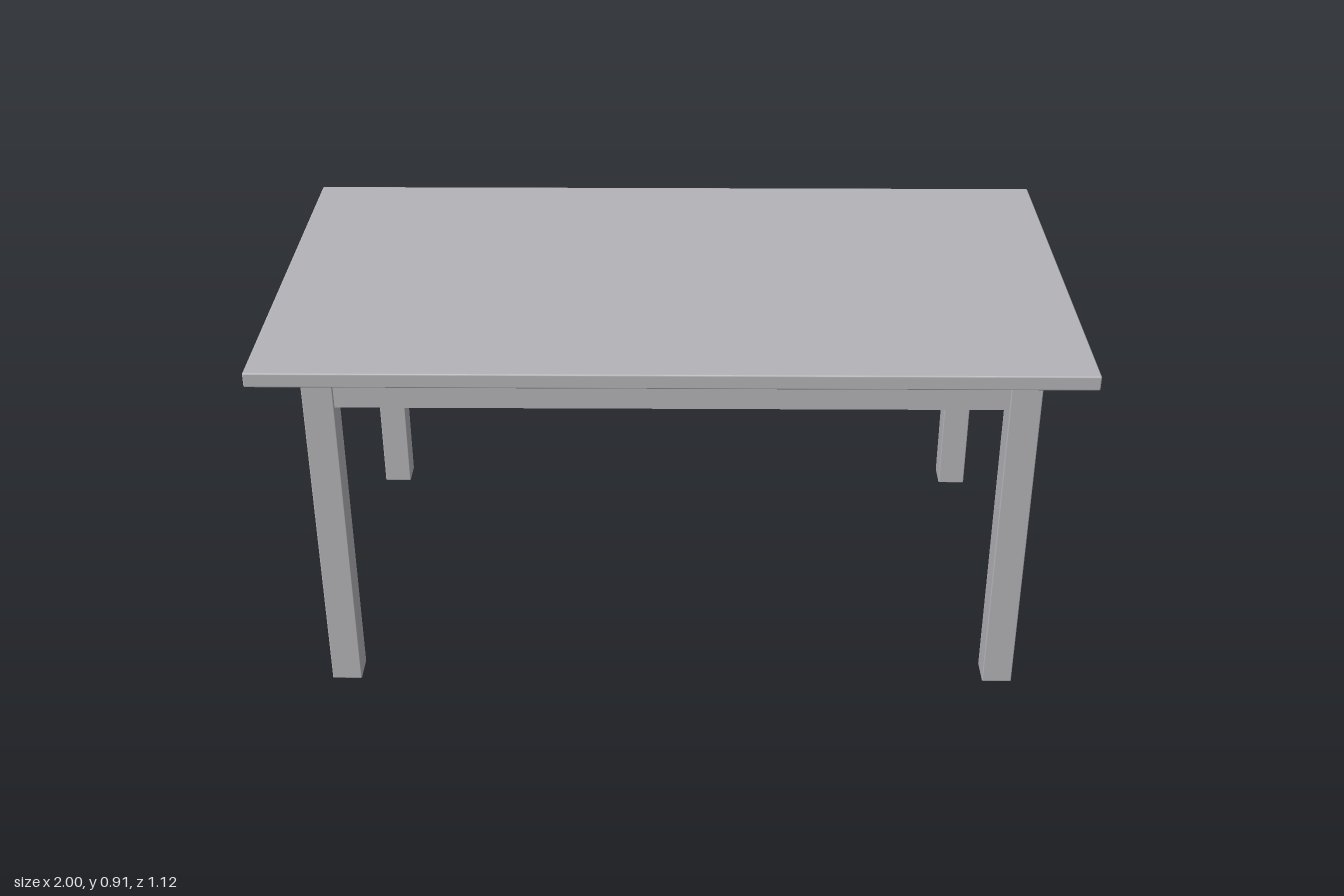
import * as THREE from 'three';
import { RoundedBoxGeometry } from 'three/addons/geometries/RoundedBoxGeometry.js';

export function createModel() {
  const table = new THREE.Group();
  table.name = 'table';
  const grey = new THREE.MeshStandardMaterial({ color: 0xb4b4b8 });
  grey.name = 'plain grey';

  const add = (name, geometry, x, y, z) => {
    const mesh = new THREE.Mesh(geometry, grey);
    mesh.name = name;
    mesh.position.set(x, y, z);
    table.add(mesh);
  };

  const height = 0.9125, topThickness = 0.0375, legSize = 0.075;
  const legHeight = height - topThickness;
  const legX = 0.8375, legZ = 0.4875;
  const apronHeight = 0.075, apronThickness = 0.025, recess = 0.006;
  const apronY = legHeight - apronHeight / 2;
  const apronShift = legSize / 2 - recess - apronThickness / 2;

  // Slab with slightly eased edges
  add('tabletop', new RoundedBoxGeometry(2, topThickness, 1.12, 2, 0.004), 0, height - topThickness / 2, 0);

  for (const side of [-1, 1]) {
    const sideName = side > 0 ? 'left' : 'right';
    const endName = side > 0 ? 'front' : 'back';

    // Square legs with eased edges
    for (const end of [-1, 1]) {
      add(`${sideName}${end > 0 ? 'Front' : 'Back'}Leg`,
        new RoundedBoxGeometry(legSize, legHeight, legSize, 2, 0.003),
        side * legX, legHeight / 2, end * legZ);
    }

    // Rails between the legs, just under the top
    add(`${endName}Apron`, new THREE.BoxGeometry(2 * legX - legSize, apronHeight, apronThickness),
      0, apronY, side * (legZ + apronShift));
    add(`${sideName}Apron`, new THREE.BoxGeometry(apronThickness, apronHeight, 2 * legZ - legSize),
      side * (legX + apronShift), apronY, 0);
  }

  return table;
}
